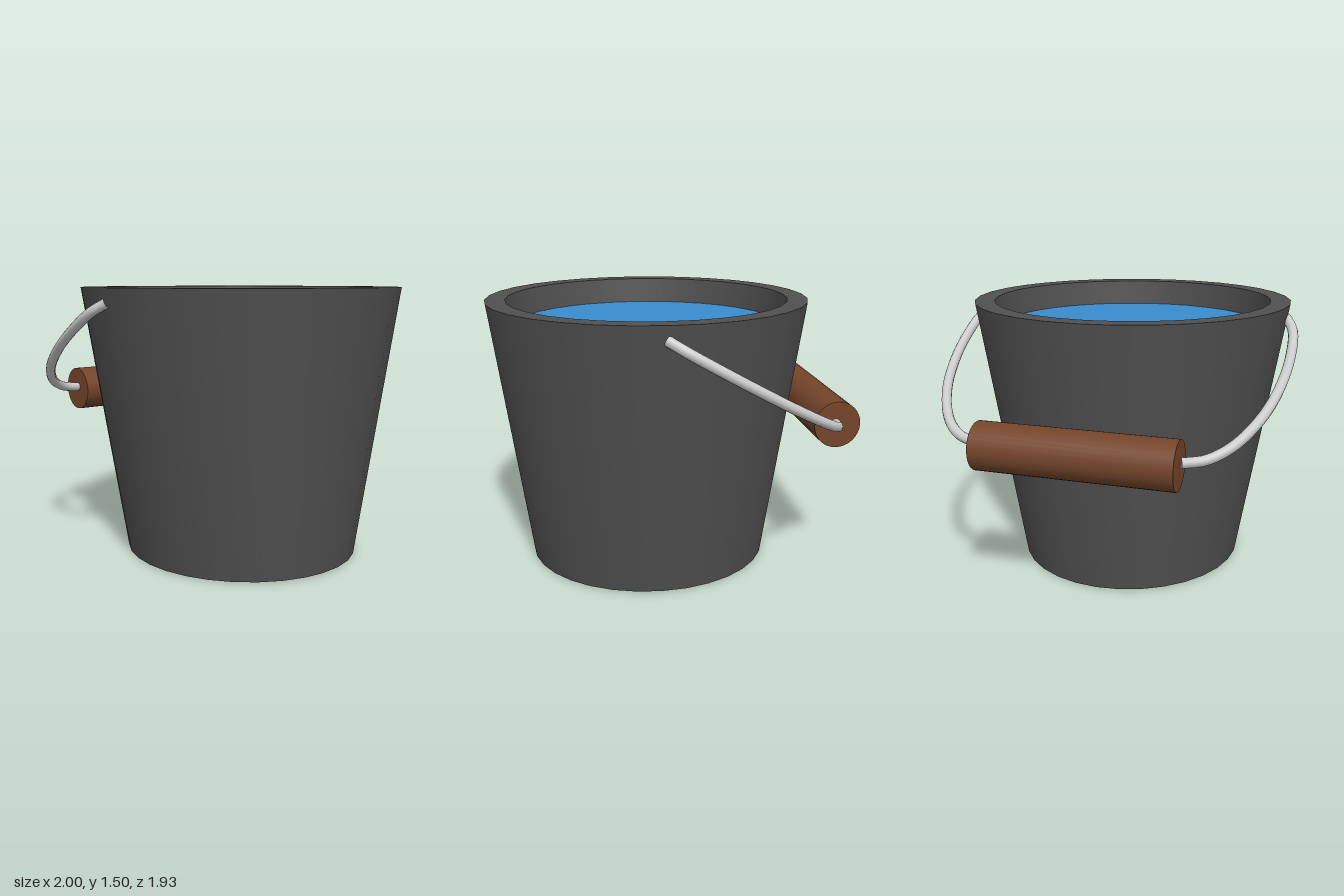
import * as THREE from 'three';
import { toCreasedNormals } from 'three/addons/utils/BufferGeometryUtils.js';

const SIDES = 32, HEIGHT = 1.5, CENTRE_X = 0.1;

function part(name, geometry, color, side = THREE.FrontSide) {
  const mesh = new THREE.Mesh(geometry, new THREE.MeshStandardMaterial({ color, side }));
  mesh.name = name;
  return mesh;
}

// Thick tapered wall with a floor; slightly narrower front to back at the foot
function bucketGeometry() {
  const profile = [[0, 0], [0.69, 0], [0.897, HEIGHT], [0.785, HEIGHT], [0.6, 0.1], [0, 0.1]]
    .map(([r, y]) => new THREE.Vector2(r, y));
  const geometry = new THREE.LatheGeometry(profile, SIDES);
  const pos = geometry.attributes.position;
  for (let i = 0; i < pos.count; i++) {
    pos.setZ(i, pos.getZ(i) * THREE.MathUtils.lerp(0.935, 1, pos.getY(i) / HEIGHT));
  }
  return toCreasedNormals(geometry, 0.5);
}

// Bent wire from the rim down to one end of the grip; s picks the side
function wireGeometry(s) {
  const path = [[0.11, 0.88], [0.02, 0.925], [-0.155, 0.94], [-0.36, 0.92], [-0.56, 0.862],
    [-0.74, 0.755], [-0.83, 0.645], [-0.86, 0.535]]
    .map(([x, z]) => new THREE.Vector3(x, 0.87 + (x + 0.87) * 0.567, s * z));
  return new THREE.TubeGeometry(new THREE.CatmullRomCurve3(path), 40, 0.027, 12);
}

export function createModel() {
  const model = new THREE.Group();
  model.name = 'waterBucket';

  const bucket = part('bucket', bucketGeometry(), 0x505050);
  bucket.position.x = CENTRE_X;
  model.add(bucket);

  // Water surface
  const water = part('water', new THREE.CircleGeometry(0.757, SIDES), 0x3a8cd0);
  water.rotation.x = -Math.PI / 2;
  water.position.set(CENTRE_X, 1.355, 0);
  model.add(water);

  // Handle: wooden grip and two wires with closed ends
  const handle = new THREE.Group();
  handle.name = 'handle';
  const grip = part('grip', new THREE.CylinderGeometry(0.128, 0.128, 1.05, SIDES), 0x74452a);
  grip.rotation.x = Math.PI / 2;
  grip.position.set(-0.872, 0.865, 0);
  handle.add(grip);
  for (const s of [1, -1]) {
    handle.add(part(s > 0 ? 'frontWire' : 'backWire', wireGeometry(s), 0xcccccc));
    const cap = part(s > 0 ? 'frontWireEnd' : 'backWireEnd',
      new THREE.CircleGeometry(0.027, 12), 0xcccccc, THREE.DoubleSide);
    cap.position.set(-0.86, 0.8757, s * 0.535);
    handle.add(cap);
  }
  model.add(handle);

  return model;
}
